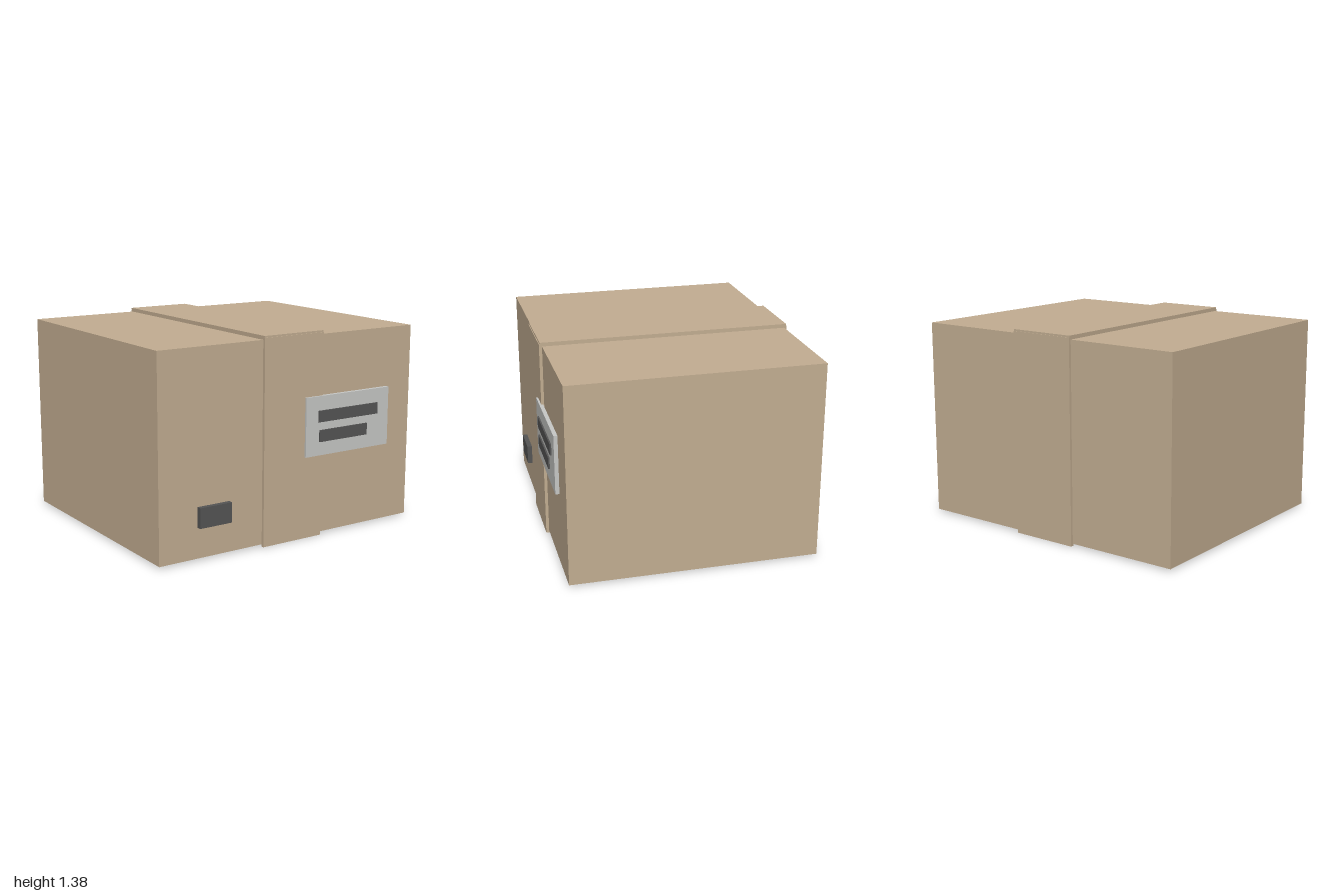
import * as THREE from 'three';

const material = (name, color) => {
  const m = new THREE.MeshStandardMaterial({ color });
  m.name = name;
  return m;
};

export function createModel() {
  const group = new THREE.Group();
  group.name = 'parcel';
  const cardboard = material('cardboard', 0xc3ae92);
  const paper = material('label paper', 0xc8c9c7);
  const ink = material('dark ink', 0x555555);

  // Box given by its lower and upper corners
  const block = (name, mat, [x0, y0, z0], [x1, y1, z1]) => {
    const mesh = new THREE.Mesh(new THREE.BoxGeometry(x1 - x0, y1 - y0, z1 - z0), mat);
    mesh.position.set((x0 + x1) / 2, (y0 + y1) / 2, (z0 + z1) / 2);
    mesh.name = name;
    group.add(mesh);
  };

  // Carton body
  block('carton', cardboard, [-1, 0.015, -0.845], [1, 1.35, 0.819]);

  // Tape band over the top and down the front and back
  block('topTape', cardboard, [-0.233, 1.345, -0.858], [0.23, 1.376, 0.834]);
  block('frontTape', cardboard, [-0.233, 0, 0.815], [0.23, 1.364, 0.839]);
  block('backTape', cardboard, [-0.233, 0, -0.862], [0.23, 1.364, -0.84]);

  // Address label with two printed bars
  block('label', paper, [0.09, 0.553, 0.826], [0.787, 0.95, 0.852]);
  block('upperLabelBar', ink, [0.188, 0.778, 0.845], [0.686, 0.854, 0.862]);
  block('lowerLabelBar', ink, [0.198, 0.645, 0.845], [0.596, 0.724, 0.862]);

  // Small mark in the lower corner
  block('cornerMark', ink, [-0.722, 0.217, 0.815], [-0.486, 0.35, 0.852]);

  return group;
}
